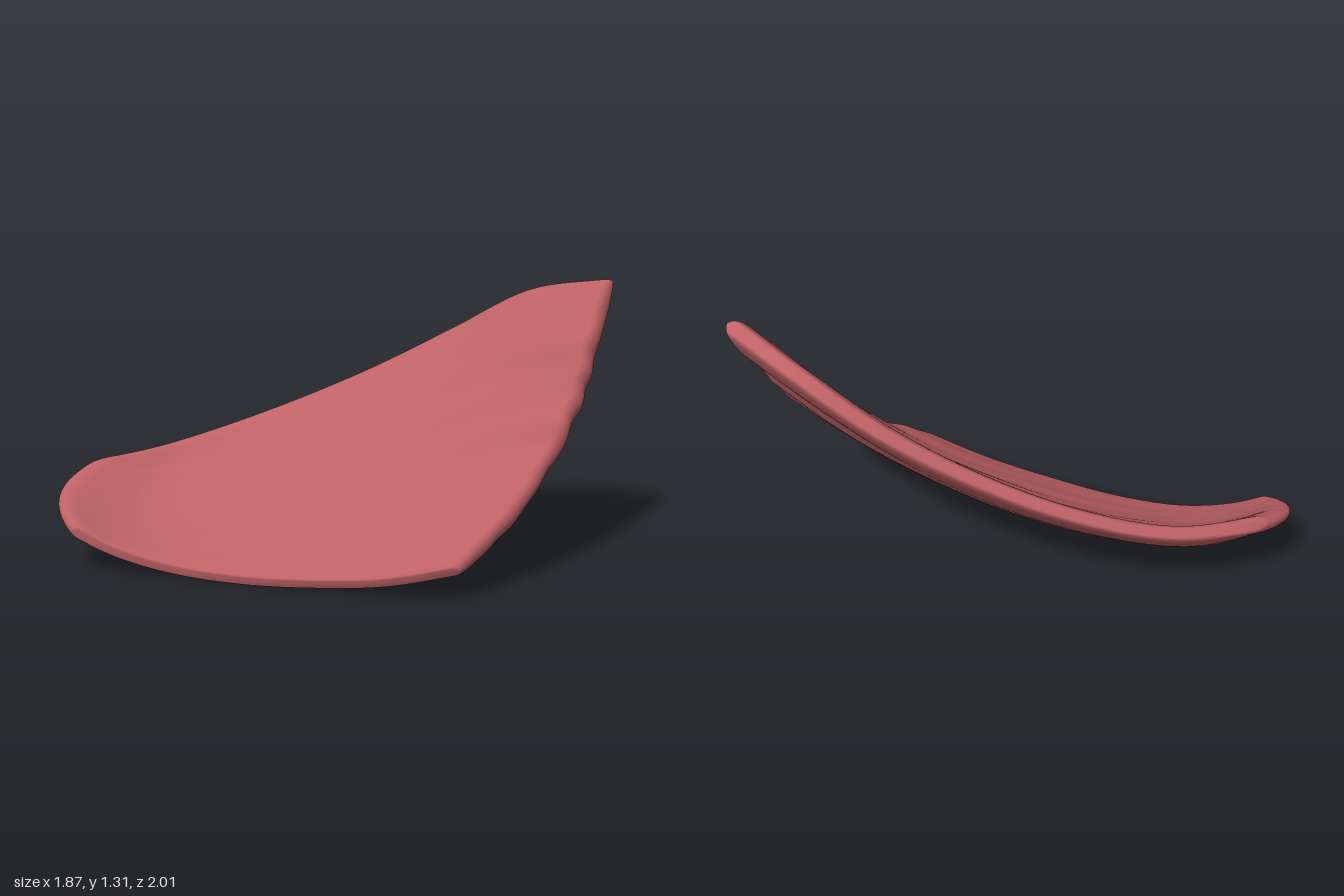
import * as THREE from 'three';

const curve = (pts) => new THREE.CatmullRomCurve3(pts.map((p) => new THREE.Vector3(...p)));

// Lengthwise guides, from the rounded back tip to the ragged front edge
const lower = curve([[-.945, .21, -.75], [-.86, .125, -.6], [-.74, .055, -.38], [-.6, .025, -.07],
  [-.47, .035, .24], [-.33, .07, .56], [-.18, .15, .865]]);
const middle = curve([[-.83, .32, -.95], [-.5, .24, -.73], [-.26, .24, -.44], [-.03, .3, -.11],
  [.16, .4, .21], [.32, .51, .54], [.42, .625, .995]]);
const upper = curve([[-.58, .405, -1.0], [-.15, .48, -.78], [.2, .62, -.48], [.49, .805, -.14],
  [.725, 1.015, .2], [.87, 1.215, .54], [.905, 1.3, .955]]);

// Point on the curved mid-surface: a parabola across the three guides
function surface(u, s) {
  return new THREE.Vector3()
    .addScaledVector(lower.getPoint(s), (1 - u) * (1 - 2 * u))
    .addScaledVector(middle.getPoint(s), 4 * u * (1 - u))
    .addScaledVector(upper.getPoint(s), u * (2 * u - 1));
}

function normalAt(u, s) {
  const d = 0.004;
  const u0 = Math.max(0, u - d), u1 = Math.min(1, u + d);
  const s0 = Math.max(0, s - d), s1 = Math.min(1, s + d);
  const du = surface(u1, s).sub(surface(u0, s));
  const ds = surface(u, s1).sub(surface(u, s0));
  return ds.cross(du).normalize();
}

// Rounds the thickness off towards one end
const roundEnd = (d, r) => (d >= r ? 1 : Math.sqrt(Math.max(0, 1 - (1 - d / r) ** 2)));
const bump = (u, centre, width) => Math.exp(-(((u - centre) / width) ** 2));

function shellGeometry(around = 160, along = 80) {
  const pos = [], index = [];
  for (let j = 0; j <= along; j++) {
    const s = (1 - Math.cos(Math.PI * j / along)) / 2;
    for (let i = 0; i < around; i++) {
      const a = 2 * Math.PI * i / around;
      const u = (1 - Math.cos(a)) / 2;
      const n = normalAt(u, s);
      const p = surface(u, s);
      const inner = Math.sin(Math.PI * u);

      // Uneven long folds, and a straighter upper part, both stronger at the front
      const fold = inner * (0.1 + 0.9 * s * s) *
        (0.007 * Math.sin(27 * u + 5 * s) + 0.006 * Math.sin(46 * u - 6 * s + 1))
        + 0.03 * s * s * bump(u, 0.8, 0.15);

      // Thick blunt-edged sheet, thickest at the upper front, with a groove inside the rim
      const side = Math.sin(a);
      const rim = 0.006 * bump(u, 0.94, 0.05) - 0.006 * bump(u, 0.8, 0.06) * s * (1 - s) * 4;
      const half = (0.044 + 0.006 * s + 0.018 * s * s * THREE.MathUtils.smoothstep(u, 0.4, 0.8)
        + (side > 0 ? rim : 0)) * roundEnd(s, 0.04) * roundEnd(1 - s, 0.015);
      p.addScaledVector(n, fold + half * Math.sign(side) * Math.abs(side) ** 0.32);

      // Ragged front edge
      p.z += 0.007 * inner * s ** 12 * Math.sin(44 * u + 3 * Math.sin(9 * u));
      pos.push(p.x, p.y, p.z);
      if (j < along) {
        const k = (i + 1) % around;
        const A = j * around + i, B = A + around, C = j * around + k, D = C + around;
        index.push(A, B, C, C, B, D);
      }
    }
  }
  const g = new THREE.BufferGeometry();
  g.setAttribute('position', new THREE.Float32BufferAttribute(pos, 3));
  g.setIndex(index);
  g.computeVertexNormals();

  // Rest on the ground
  g.computeBoundingBox();
  g.translate(0, -g.boundingBox.min.y, 0);
  return g;
}

export function createModel() {
  const group = new THREE.Group();
  group.name = 'foldedPetal';
  const material = new THREE.MeshStandardMaterial({ color: 0xbd6165 });
  material.name = 'dusty red';
  const petal = new THREE.Mesh(shellGeometry(), material);
  petal.name = 'petal';
  group.add(petal);
  return group;
}
